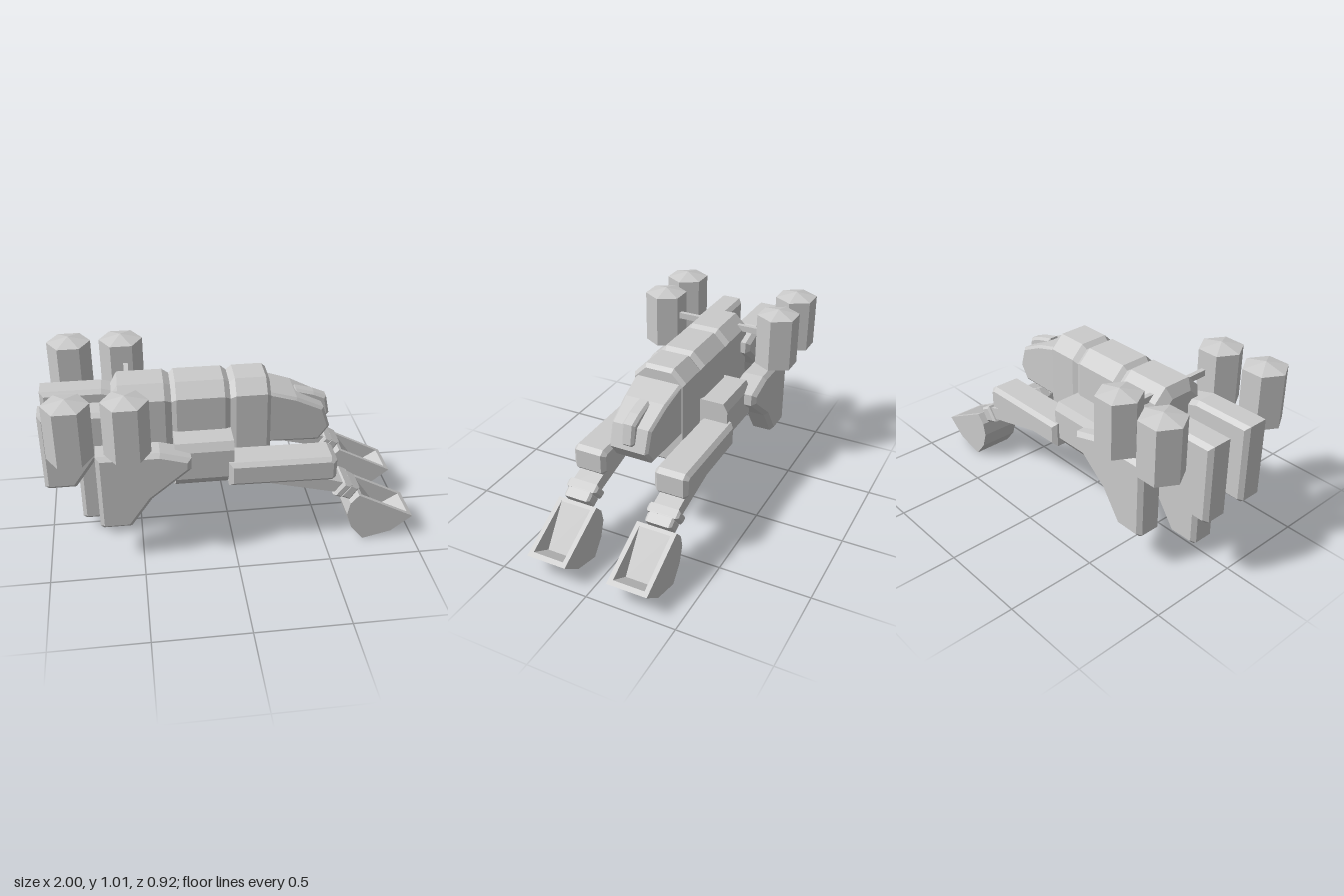
import * as THREE from 'three';

const grey = new THREE.MeshStandardMaterial({ color: 0xcccccc, flatShading: true });

function add(parent, name, geometry) {
  const mesh = new THREE.Mesh(geometry, grey);
  mesh.name = name;
  parent.add(mesh);
  return mesh;
}

// Side profile (x, y) given thickness along z, centred on z, with chamfered rims
function prism(points, z, half, bevel = 0) {
  const shape = new THREE.Shape(points.map(p => new THREE.Vector2(...p)));
  const depth = 2 * (half - bevel);
  const geo = new THREE.ExtrudeGeometry(shape, {
    depth, bevelEnabled: bevel > 0, bevelSegments: 1,
    bevelThickness: bevel, bevelSize: bevel, bevelOffset: -bevel,
  });
  return geo.translate(0, 0, z - depth / 2);
}

function box(x0, x1, y0, y1, z0, z1) {
  return new THREE.BoxGeometry(x1 - x0, y1 - y0, Math.abs(z1 - z0))
    .translate((x0 + x1) / 2, (y0 + y1) / 2, (z0 + z1) / 2);
}

// Skin a cross-section of (z, y) points along x; each ring is [x, scale]
function loft(section, rings, centreY) {
  const n = section.length, pos = [], index = [];
  for (const [x, s] of rings)
    for (const [z, y] of section) pos.push(x, centreY + (y - centreY) * s, z * s);
  for (let i = 0; i < rings.length - 1; i++)
    for (let j = 0; j < n; j++) {
      const a = i * n + j, b = i * n + (j + 1) % n;
      index.push(a, b, b + n, a, b + n, a + n);
    }
  const last = (rings.length - 1) * n;
  for (let j = 1; j < n - 1; j++) {
    index.push(0, j + 1, j);
    index.push(last, last + j, last + j + 1);
  }
  const geo = new THREE.BufferGeometry();
  geo.setAttribute('position', new THREE.Float32BufferAttribute(pos, 3));
  geo.setIndex(index);
  const flat = geo.toNonIndexed();
  flat.computeVertexNormals();
  return flat;
}

// One swept-back fin, reused in five places
const finProfile = [
  [-0.72, 0.235], [-0.70, 0.22], [-0.555, 0.22], [-0.44, 0.385],
  [-0.23, 0.555], [-0.23, 0.62], [-0.39, 0.665], [-0.72, 0.665],
];
function fin(parent, name, dx, dy, z) {
  add(parent, name, prism(finProfile, z, 0.075, 0.022).translate(dx, dy, 0));
}

// Scoop: two full side walls and a hollowed middle
function scoop(parent, z) {
  const g = new THREE.Group();
  g.name = 'scoop';
  const back = [[0.68, 0.30], [0.635, 0.25], [0.62, 0.18], [0.65, 0.09],
    [0.72, 0.005], [0.88, 0.043], [0.995, 0.134]];
  const cavity = [[0.97, 0.147], [0.85, 0.075], [0.70, 0.289]];
  add(g, 'scoopShell', prism([...back, ...cavity], z, 0.088));
  for (const s of [-1, 1]) add(g, 'scoopWall', prism(back, z + s * 0.1, 0.0125));
  parent.add(g);
}

function arm(parent, s) {
  const g = new THREE.Group();
  g.name = s > 0 ? 'leftArm' : 'rightArm';
  const z = s * 0.238;
  add(g, 'upperArm', prism([[-0.03, 0.41], [0.53, 0.40], [0.55, 0.42],
    [0.55, 0.525], [0.52, 0.545], [-0.03, 0.55]], z, 0.095, 0.022));
  add(g, 'lowerArm', prism([[0.0, 0.44], [0.20, 0.40], [0.56, 0.31],
    [0.62, 0.36], [0.46, 0.415], [0.2, 0.44]], z, 0.07));
  // Wrist is pinched in the middle
  for (const [name, profile, half] of [
    ['wristBase', [[0.54, 0.30], [0.585, 0.28], [0.645, 0.355], [0.60, 0.38]], 0.09],
    ['wristTip', [[0.58, 0.28], [0.64, 0.25], [0.69, 0.325], [0.64, 0.358]], 0.075],
  ]) add(g, name, prism(profile, z, half, 0.012));
  scoop(g, s * 0.232);
  parent.add(g);
}

function pod(parent, x, s) {
  const g = new THREE.Group();
  g.name = 'pod';
  const profile = [[0, 0.685], [0.12, 0.685], [0.12, 0.985], [0, 1.015]]
    .map(p => new THREE.Vector2(...p));
  const geo = new THREE.LatheGeometry(profile, 6).rotateY(Math.PI / 6);
  add(g, 'podTube', geo).position.set(x, 0, s * 0.355);
  parent.add(g);
}

export function createModel() {
  const model = new THREE.Group();
  model.name = 'walkerMachine';

  // Segmented body with narrow grooves between the segments
  const section = [[-0.08, 0.925], [0.08, 0.925], [0.15, 0.855], [0.15, 0.5],
    [0.11, 0.36], [-0.11, 0.36], [-0.15, 0.5], [-0.15, 0.855]];
  add(model, 'body', loft(section, [[-0.62, 0.8], [-0.585, 1], [-0.345, 1], [-0.31, 0.92],
    [-0.285, 1], [-0.03, 1], [0, 0.92], [0.03, 1], [0.195, 1], [0.215, 0.93]], 0.64));

  // Wide hull carrying the shoulders
  const hull = [[-0.16, 0.338], [0.16, 0.338], [0.27, 0.42], [0.30, 0.46],
    [0.30, 0.62], [0.275, 0.665], [-0.275, 0.665], [-0.30, 0.62], [-0.30, 0.46], [-0.27, 0.42]];
  add(model, 'hull', prism(hull, 0, 0.155).rotateY(Math.PI / 2).translate(-0.155, 0, 0));

  // Head narrows toward the front
  const head = prism([[0.2, 0.55], [0.49, 0.53], [0.55, 0.61], [0.51, 0.73],
    [0.36, 0.805], [0.2, 0.855]], 0, 0.135, 0.015);
  const p = head.attributes.position;
  for (let i = 0; i < p.count; i++)
    p.setZ(i, p.getZ(i) * (1 - 0.55 * (p.getX(i) - 0.2)));
  head.computeVertexNormals();
  add(model, 'head', head);
  add(model, 'headRidge', prism([[0.36, 0.78], [0.50, 0.66], [0.53, 0.62], [0.56, 0.65],
    [0.54, 0.755], [0.47, 0.785], [0.37, 0.812]], 0, 0.037, 0.014));

  // Fins: one in the centre, two mirrored pairs
  fin(model, 'centreFin', -0.105, -0.14, 0);
  for (const s of [-1, 1]) {
    fin(model, 'outerFin', 0, 0, s * 0.29);
    fin(model, 'rearFin', -0.28, 0.165, s * 0.127);
    arm(model, s);
    for (const x of [-0.838, -0.552]) pod(model, x, s);
    add(model, 'frontStrut', box(-0.545, -0.52, 0.85, 0.885, s * 0.1, s * 0.28));
    add(model, 'rearStrut', box(-0.83, -0.808, 0.71, 0.752, s * 0.15, s * 0.28));
  }
  return model;
}
